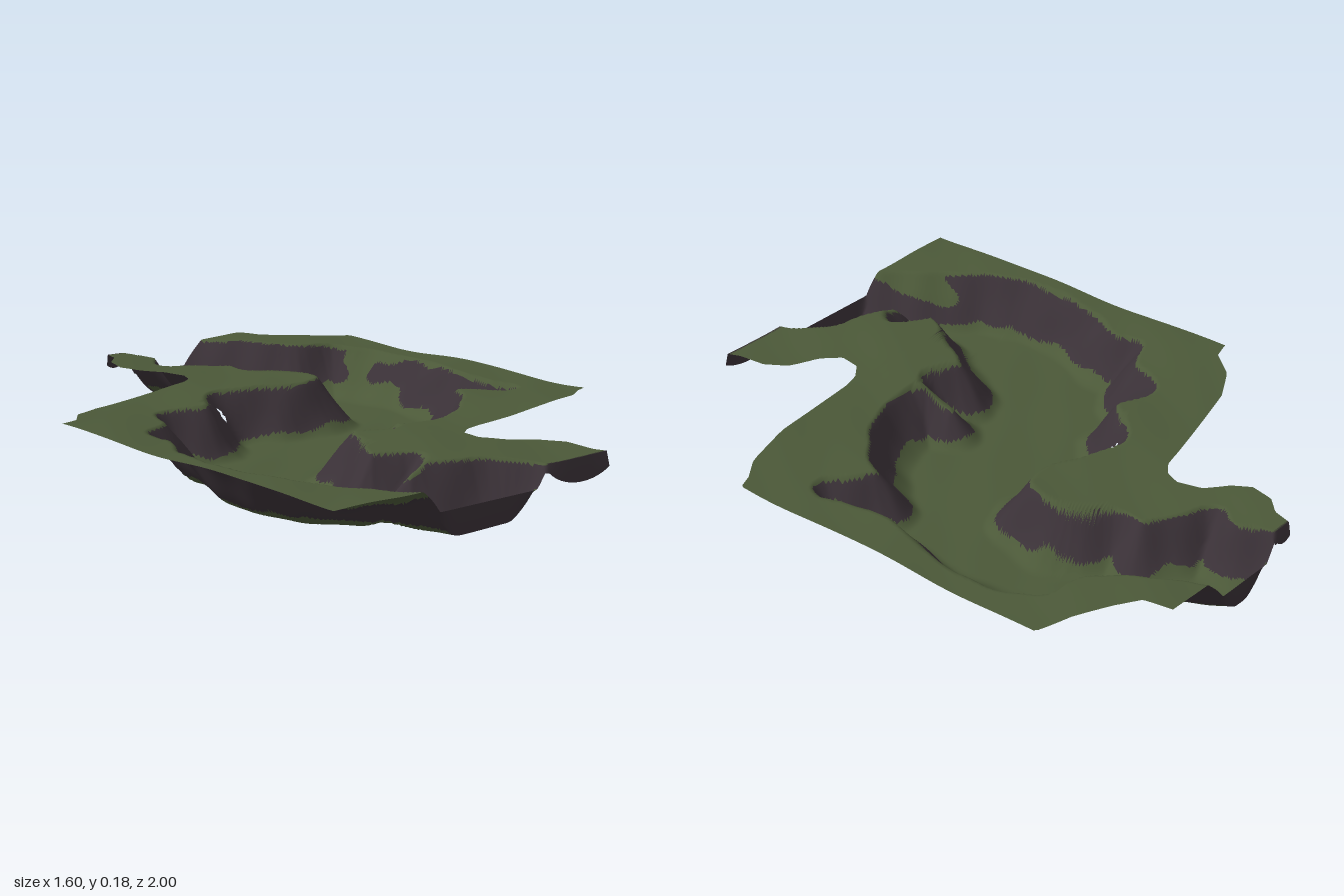
import * as THREE from 'three';

const { clamp, lerp, mapLinear } = THREE.MathUtils;

// Outer borders of the land as [z, x] pairs
const leftEdge = [[-1, -0.08], [-0.93, -0.1], [-0.88, -0.15], [-0.8, -0.17], [-0.74, -0.14], [-0.68, -0.08], [-0.6, -0.06],
  [-0.55, -0.08], [-0.52, -0.12], [-0.5, -0.2], [-0.45, -0.38], [-0.4, -0.56], [-0.34, -0.67], [-0.25, -0.74], [-0.24, -0.8], [1, -0.8]];
const rightEdge = [[-1, 0.49], [-0.91, 0.51], [-0.86, 0.58], [-0.8, 0.69], [-0.76, 0.8], [0.38, 0.8], [0.4, 0.75], [0.45, 0.68],
  [0.5, 0.5], [0.53, 0.3], [0.545, 0.17], [0.56, 0.11], [0.6, 0.06], [0.67, 0.05], [0.73, 0.1], [0.78, 0.19], [0.85, 0.235], [0.95, 0.24], [1, 0.26]];

// Cliff lines on both sides of the valley as [x, z] pairs
const leftCliff = [[0, -1.2], [0.02, -1], [0.05, -0.87], [0.01, -0.78], [0.12, -0.72], [0.2, -0.66], [0.2, -0.57], [0.29, -0.46],
  [0.29, -0.34], [0.24, -0.23], [0.08, -0.23], [-0.08, -0.3], [-0.18, -0.28], [-0.28, -0.16], [-0.45, -0.19], [-0.5, -0.06],
  [-0.62, 0.01], [-0.62, 0.11], [-0.68, 0.24], [-0.71, 0.4], [-0.69, 0.59], [-0.61, 0.76], [-0.45, 0.98], [-0.36, 1.2]];
const rightCliff = [[0.16, -1.2], [0.29, -0.98], [0.37, -0.85], [0.48, -0.69], [0.62, -0.64], [0.68, -0.5], [0.68, -0.34],
  [0.64, -0.18], [0.61, 0], [0.64, 0.2], [0.48, 0.09], [0.4, 0.19], [0.24, 0.32], [0.04, 0.35], [-0.01, 0.25], [-0.05, 0.39],
  [-0.18, 0.32], [-0.29, 0.5], [-0.37, 0.64], [-0.25, 0.71], [-0.35, 0.8], [-0.13, 0.87], [-0.03, 0.98], [0, 1.2]];

// Places where the cliff foot runs out more gently, as [x, z]
const gentleFeet = [[0.56, -0.47], [-0.52, 0.82]];

function edgeX(edge, z) {
  let k = 1;
  while (k < edge.length - 1 && edge[k][0] < z) k++;
  const [z0, x0] = edge[k - 1], [z1, x1] = edge[k];
  return mapLinear(z, z0, z1, x0, x1);
}

const smoothLine = pts => new THREE.SplineCurve(pts.map(p => new THREE.Vector2(...p))).getPoints(110);

// Distance to the valley outline, positive inside the valley
function signedDistance(poly, x, z) {
  let best = Infinity, inside = false;
  for (let i = 0, j = poly.length - 1; i < poly.length; j = i++) {
    const a = poly[j], b = poly[i], dx = b.x - a.x, dz = b.y - a.y;
    const t = clamp(((x - a.x) * dx + (z - a.y) * dz) / (dx * dx + dz * dz || 1), 0, 1);
    best = Math.min(best, (x - a.x - t * dx) ** 2 + (z - a.y - t * dz) ** 2);
    if ((a.y > z) !== (b.y > z) && x < a.x + (z - a.y) * dx / dz) inside = !inside;
  }
  return Math.sqrt(best) * (inside ? 1 : -1);
}

// Gentle rolling of the ground, roughly -1 to 1
const roll = (x, z) => 0.5 * Math.sin(7 * x + 3 * z + 1) + 0.3 * Math.sin(11 * z - 5 * x) + 0.2 * Math.sin(23 * x + 17 * z);

function height(poly, x, z) {
  const d = signedDistance(poly, x, z) + 0.007 * Math.sin(31 * x + 9 * z) * Math.sin(27 * z - 8 * x);
  let width = 0.14;
  for (const [fx, fz] of gentleFeet) width += 0.06 * Math.exp(-((x - fx) ** 2 + (z - fz) ** 2) / 0.02);
  const t = clamp((d + 0.035) / width, 0, 1);
  const wall = 0.5 * (1 - t * t * (3 - 2 * t)) + 0.5 * (1 - t) ** 2;
  const floor = 0.004 + 0.004 * (1 + roll(z, x));
  const plateau = 0.166 + 0.006 * Math.cos(8.4 * (z - 0.6)) + 0.004 * Math.cos(10.1 * (x + 0.15)) + 0.005 * roll(x, z);
  return lerp(floor, plateau, wall);
}

// End rims: the valley mouth turns up into a lip, the spur beside it folds down
function shapeRim(positions, row, cols, spurStart, spurEnd, fold) {
  for (let j = 0; j <= cols; j++) {
    const k = 3 * (row * (cols + 1) + j) + 1;
    const s = clamp((positions[k - 1] - spurStart) / (spurEnd - spurStart), 0, 1);
    positions[k] = s > 0 ? positions[k] - fold * Math.sqrt(Math.sin(Math.PI * s)) : Math.max(positions[k], 0.09);
  }
}

export function createModel() {
  const group = new THREE.Group();
  group.name = 'valleyTerrain';
  const poly = [...smoothLine(leftCliff), ...smoothLine(rightCliff).reverse()];

  // Height grid stretched between the two borders
  const rows = 220, cols = 140, positions = [], index = [];
  for (let i = 0; i <= rows; i++) {
    const z = -1 + 2 * i / rows, x0 = edgeX(leftEdge, z), x1 = edgeX(rightEdge, z);
    for (let j = 0; j <= cols; j++) {
      const x = lerp(x0, x1, j / cols);
      positions.push(x, height(poly, x, z), z);
    }
  }
  shapeRim(positions, rows, cols, 0, 0.3, 0.07);
  shapeRim(positions, 0, cols, 0, -0.1, 0.05);

  for (let i = 0; i < rows; i++) {
    for (let j = 0; j < cols; j++) {
      const a = i * (cols + 1) + j, c = a + cols + 1;
      // Small gap in the cliff
      if (Math.abs(positions[3 * a] + 0.16) < 0.01 && Math.abs(positions[3 * a + 2] + 0.285) < 0.014) continue;
      index.push(a, c, a + 1, a + 1, c, c + 1);
    }
  }
  const base = new THREE.BufferGeometry();
  base.setAttribute('position', new THREE.Float32BufferAttribute(positions, 3));
  base.setIndex(index);
  base.computeVertexNormals();

  // Steep faces are rock, the others grass
  const normal = base.attributes.normal, grass = [], rock = [];
  for (let k = 0; k < index.length; k += 3) {
    const tri = index.slice(k, k + 3);
    const up = (normal.getY(tri[0]) + normal.getY(tri[1]) + normal.getY(tri[2])) / 3;
    (up < 0.7 ? rock : grass).push(...tri);
  }
  for (const [name, faces, color] of [['grassGround', grass, 0x4b5838], ['rockCliffs', rock, 0x3a3137]]) {
    const geometry = base.clone();
    geometry.setIndex(faces);
    const mesh = new THREE.Mesh(geometry, new THREE.MeshStandardMaterial({ color, side: THREE.DoubleSide }));
    mesh.name = name;
    group.add(mesh);
  }
  return group;
}
